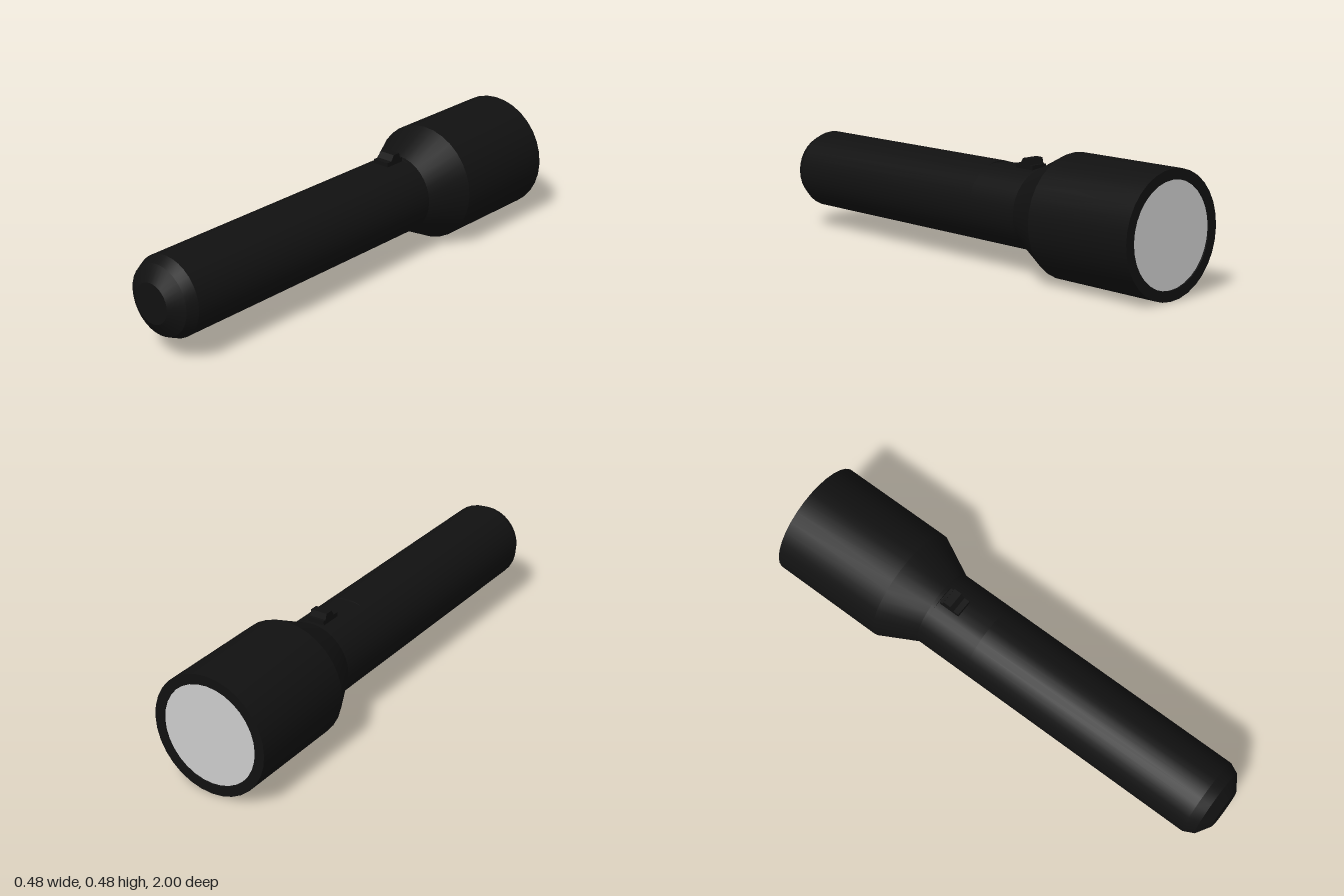
import * as THREE from 'three';
import { toCreasedNormals } from 'three/addons/utils/BufferGeometryUtils.js';

const AXIS_Y = 0.24;
const SIDES = 32;

export function createModel() {
  const group = new THREE.Group();
  const black = new THREE.MeshStandardMaterial({ color: 0x111111 });
  const grey = new THREE.MeshStandardMaterial({ color: 0xcccccc });

  function add(name, geometry, material, x, y, z) {
    const mesh = new THREE.Mesh(geometry, material);
    mesh.name = name;
    mesh.position.set(x, y, z);
    group.add(mesh);
    return mesh;
  }

  // Turned casing: recessed rim, head, cone, grip and rounded tail as [radius, z]
  const slotFront = -0.12, slotBack = -0.345;
  const profile = [
    [0.2, -0.994], [0.2, -1], [0.24, -1], [0.24, -0.52], [0.16, -0.36],
    [0.16, slotBack], [0.16, slotBack + 0.001],
    [0.16, slotFront - 0.001], [0.16, slotFront],
    [0.16, 0.92], [0.14, 0.962], [0.08, 1], [0, 1],
  ].map(([r, z]) => new THREE.Vector2(r, z));
  const casing = new THREE.LatheGeometry(profile, SIDES);
  casing.rotateX(Math.PI / 2);

  // Flatten the top of the grip under the switch
  const p = casing.attributes.position;
  for (let i = 0; i < p.count; i++) {
    const z = p.getZ(i);
    if (z > slotBack + 0.0005 && z < slotFront - 0.0005) {
      p.setY(i, Math.min(p.getY(i), 0.1535));
    }
  }
  add('casing', toCreasedNormals(casing, 0.4), black, 0, AXIS_Y, 0);

  // Lens disc facing the back
  const lens = add('lens', new THREE.CircleGeometry(0.2, SIDES), grey, 0, AXIS_Y, -0.994);
  lens.rotation.y = Math.PI;

  // Sliding switch: flat plate with a raised thumb ridge
  add('switchPlate', new THREE.BoxGeometry(0.07, 0.022, 0.09), black, 0, 0.4, -0.292);

  const ridge = new THREE.Shape([
    [-0.03, 0], [0.025, 0], [0.018, 0.024], [-0.015, 0.024],
  ].map(([x, y]) => new THREE.Vector2(x, y)));
  const ridgeGeometry = new THREE.ExtrudeGeometry(ridge, { depth: 0.07, bevelEnabled: false });
  ridgeGeometry.translate(0, 0, -0.035);
  ridgeGeometry.rotateY(Math.PI / 2);
  add('switchRidge', ridgeGeometry, black, 0, 0.41, -0.3);

  return group;
}
